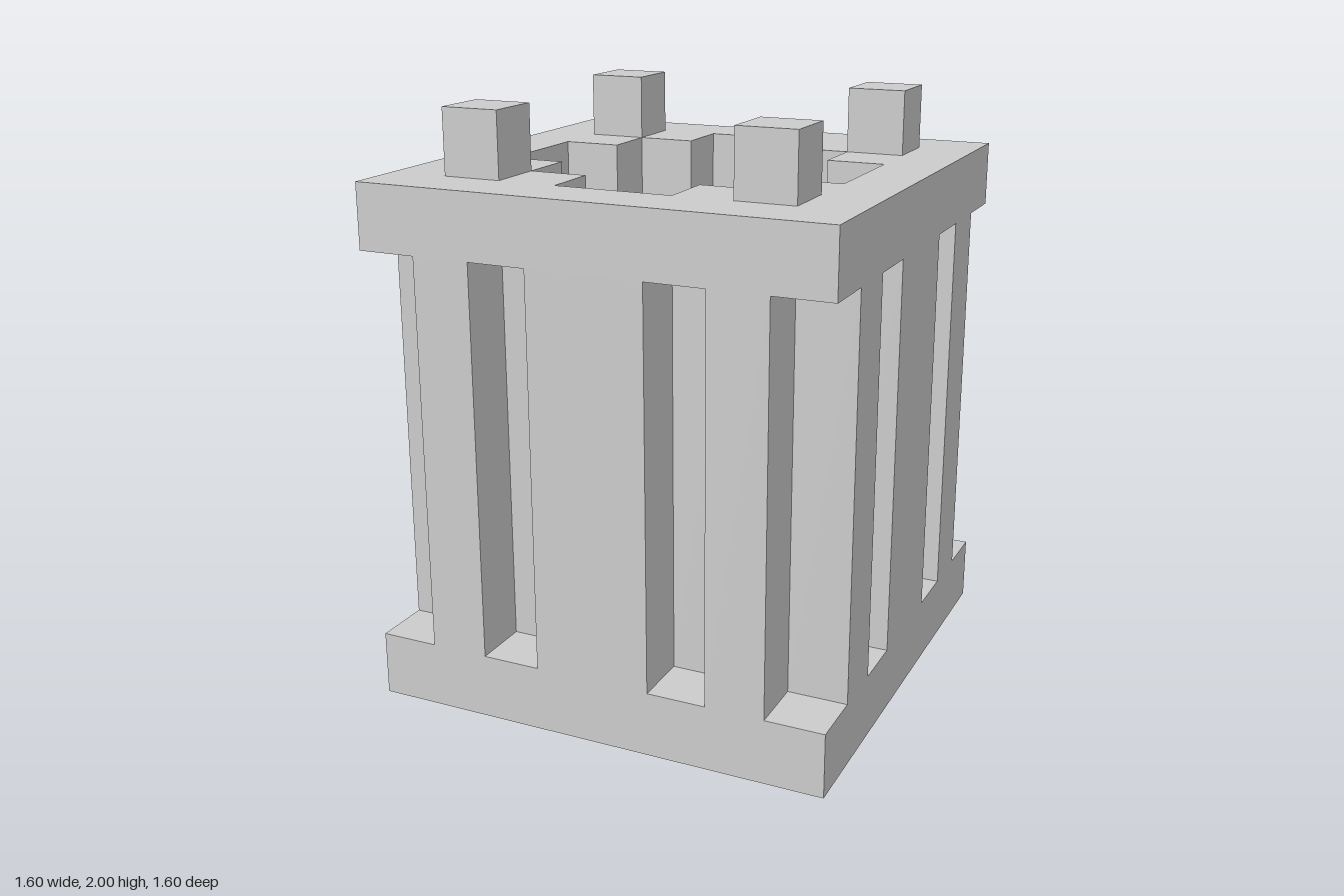
import * as THREE from 'three';

const W = 0.8;                                // half width
const BASE = 0.22, LEDGE = 1.56, TOP = 1.78;  // main levels
const WELL = 1.11;                            // floor of the top well

const material = new THREE.MeshStandardMaterial({
  color: 0xcccccc, flatShading: true, side: THREE.DoubleSide,
});

// Repeats one side's [x, z] points around the four sides.
function fourSides(side) {
  const out = [];
  let pts = side;
  for (let i = 0; i < 4; i++) {
    out.push(...pts);
    pts = pts.map(([x, z]) => [z, -x]);
  }
  return out;
}

// Vertical sheet following a closed plan outline.
function wall(outline, y0, y1) {
  const pos = [];
  outline.forEach(([ax, az], i) => {
    const [bx, bz] = outline[(i + 1) % outline.length];
    pos.push(ax, y0, az, bx, y0, bz, bx, y1, bz, ax, y0, az, bx, y1, bz, ax, y1, az);
  });
  const g = new THREE.BufferGeometry();
  g.setAttribute('position', new THREE.Float32BufferAttribute(pos, 3));
  g.computeVertexNormals();
  return g;
}

// Horizontal sheet filling one or more plan outlines.
const toVectors = (outline) => outline.map(([x, z]) => new THREE.Vector2(x, -z));
function sheet(outlines, y, hole) {
  const shapes = outlines.map((o) => new THREE.Shape(toVectors(o)));
  if (hole) shapes[0].holes.push(new THREE.Path(toVectors(hole)));
  return new THREE.ShapeGeometry(shapes).rotateX(-Math.PI / 2).translate(0, y, 0);
}

const cell = (x, z) => [[x - 0.1, z + 0.1], [x + 0.1, z + 0.1], [x + 0.1, z - 0.1], [x - 0.1, z - 0.1]];

export function createModel() {
  const model = new THREE.Group();
  const add = (name, geometry) => {
    const mesh = new THREE.Mesh(geometry, material);
    mesh.name = name;
    model.add(mesh);
    return mesh;
  };

  const square = fourSides([[-W, W]]);
  const grooved = fourSides([
    [-0.6, W], [-0.4, W], [-0.4, 0.6], [-0.2, 0.6], [-0.2, W],
    [0.2, W], [0.2, 0.6], [0.4, 0.6], [0.4, W], [0.6, W], [0.6, 0.6],
  ]);
  const cross = fourSides([[-0.2, 0.6], [0.2, 0.6], [0.2, 0.4], [0.4, 0.4], [0.4, 0.2]]);
  const recesses = fourSides([[-0.3, 0.7], [0.3, 0.7], [0.7, 0.7]]).map(([x, z]) => cell(x, z));

  // Hollow body, open underneath
  add('lowerBand', wall(square, 0, BASE));
  add('groovedWalls', wall(grooved, BASE, LEDGE));
  add('upperBand', wall(square, LEDGE, TOP));
  add('grooveFloors', sheet(recesses, BASE));
  add('grooveCeilings', sheet(recesses, LEDGE));

  // Top face with a sunken stepped well
  add('topFace', sheet([square], TOP, cross));
  add('wellWalls', wall([...cross].reverse(), WELL, TOP));
  add('wellFloor', sheet([cross], WELL));

  // Corner studs
  for (const [x, z] of fourSides([[0.5, 0.5]])) {
    add('stud', new THREE.BoxGeometry(0.2, 2 - TOP, 0.2)).position.set(x, (2 + TOP) / 2, z);
  }
  return model;
}
